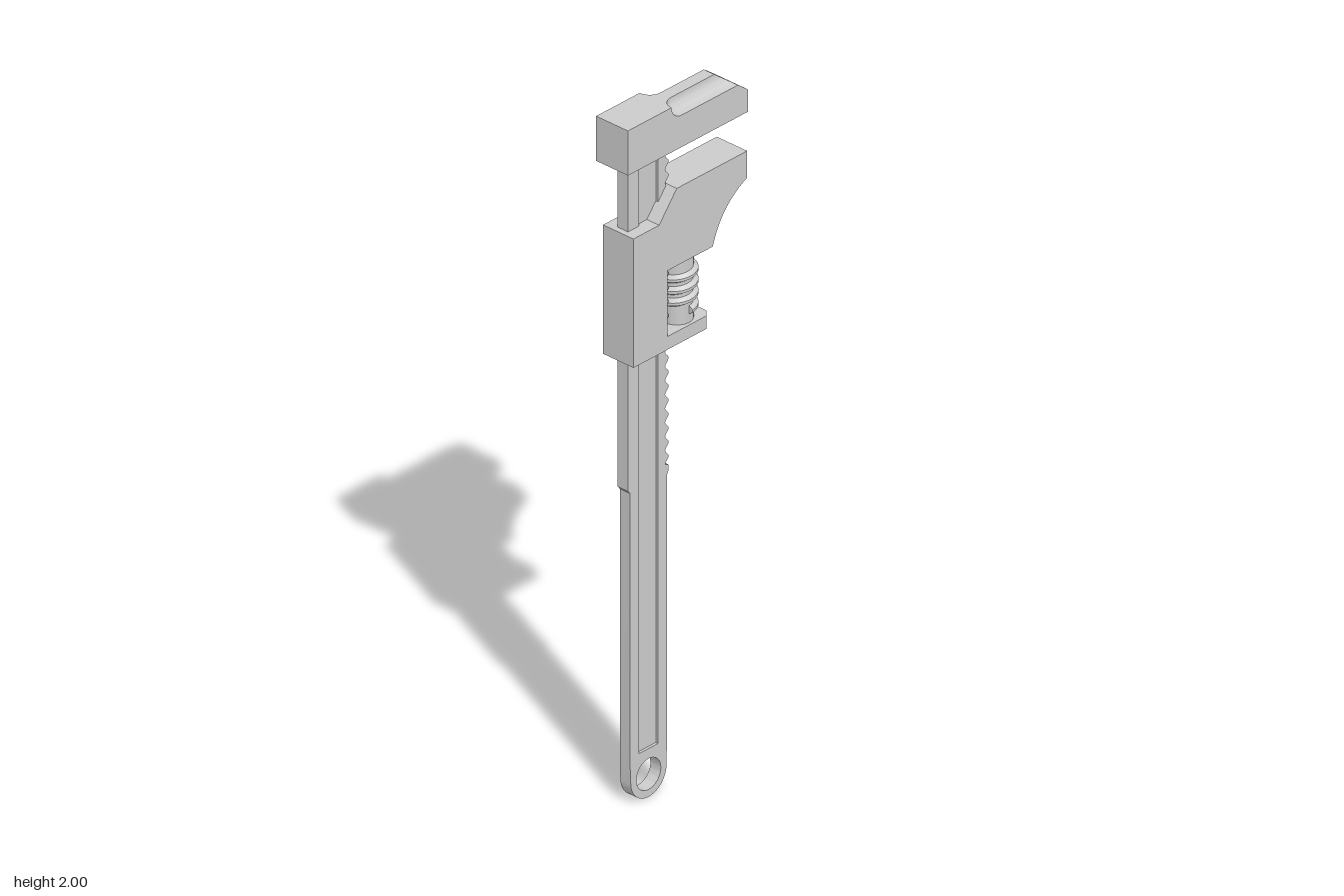
import * as THREE from 'three';
import { toCreasedNormals } from 'three/addons/utils/BufferGeometryUtils.js';

const grey = new THREE.MeshStandardMaterial({ color: 0xcccccc });

function part(name, geometry, crease = 0.6) {
  const mesh = new THREE.Mesh(toCreasedNormals(geometry, crease), grey);
  mesh.name = name;
  return mesh;
}

// Side profile in (z, y), extruded symmetrically across x
function sideExtrude(shape, width) {
  const g = new THREE.ExtrudeGeometry(shape, { depth: width, bevelEnabled: false, curveSegments: 24 });
  return g.translate(0, 0, -width / 2).rotateY(-Math.PI / 2);
}

// Skin over equal-length closed rings of [x, y, z], with fan caps on both ends
function loft(rings) {
  const n = rings[0].length, index = [];
  for (let i = 0; i < rings.length - 1; i++) {
    for (let j = 0; j < n; j++) {
      const a = i * n + j, b = i * n + (j + 1) % n;
      index.push(a, b, a + n, b, b + n, a + n);
    }
  }
  const last = (rings.length - 1) * n;
  for (let j = 1; j < n - 1; j++) {
    index.push(0, j + 1, j, last, last + j, last + j + 1);
  }
  const g = new THREE.BufferGeometry();
  g.setAttribute('position', new THREE.Float32BufferAttribute(rings.flat(2), 3));
  g.setIndex(index);
  g.computeVertexNormals();
  return g;
}

// Flat bar: eyed handle below, toothed rack above, long groove on each face
function barShape() {
  const s = new THREE.Shape();
  s.moveTo(0.042, 0.065);
  s.absarc(0.107, 0.066, 0.066, Math.PI, Math.PI * 2, false);
  s.lineTo(0.175, 0.11);
  s.lineTo(0.175, 0.91);
  s.lineTo(0.183, 0.92);
  s.lineTo(0.183, 1.9);
  s.lineTo(0.045, 1.9);
  const top = 1.88, bottom = 0.94, teeth = 23, steps = 8;
  for (let i = 0; i <= teeth * steps; i++) {
    const y = top + (bottom - top) * i / (teeth * steps);
    s.lineTo(0.0395 + 0.0065 * Math.cos(i / steps * Math.PI * 2), y);
  }
  s.lineTo(0.033, 0.935);
  s.lineTo(0.033, 0.92);
  s.lineTo(0.04, 0.907);
  s.lineTo(0.04, 0.11);
  s.closePath();

  const eye = new THREE.Path();
  eye.absarc(0.107, 0.066, 0.045, 0, Math.PI * 2, true);
  const groove = new THREE.Path();
  groove.moveTo(0.072, 0.14);
  groove.lineTo(0.072, 1.88);
  groove.lineTo(0.142, 1.88);
  groove.lineTo(0.142, 0.14);
  groove.closePath();
  s.holes.push(eye, groove);
  return s;
}

// Fixed jaw: block with sloped nose and a ball-ended cove along each top edge
function headGeometry() {
  const half = 0.055, r = 0.037, zc = 0.025, noseZ = -0.135, slope = 0.085 / 0.065;
  const steps = 10, columns = [];
  for (let i = 0; i <= steps; i++) {
    const a = i / steps * Math.PI / 2;
    columns.push([half - r * Math.sin(a), r * Math.cos(a)]);
  }
  const all = [...columns, ...columns.slice().reverse().map(([x, w]) => [-x, w])];
  return loft(all.map(([x, w]) => {
    const ring = [[x, 1.87, 0.223], [x, 2, 0.223]];
    for (let k = 0; k <= 8; k++) {
      const t = k / 8 * Math.PI / 2;
      ring.push([x, 2 - w * Math.sin(t), zc + w * Math.cos(t)]);
    }
    ring.push([x, 2 - w, noseZ - w * slope], [x, 1.935, -0.22], [x, 1.87, -0.22]);
    return ring;
  }));
}

// Sliding jaw: sleeve around the bar, upper jaw with curved throat
function sliderShape() {
  const s = new THREE.Shape();
  s.moveTo(0.2, 1.3);
  s.lineTo(0.2, 1.675);
  s.lineTo(0.105, 1.675);
  s.lineTo(0.04, 1.755);
  s.lineTo(-0.22, 1.755);
  s.lineTo(-0.22, 1.677);
  s.quadraticCurveTo(-0.125, 1.635, -0.093, 1.53);
  s.lineTo(0.075, 1.53);
  s.lineTo(0.075, 1.3);
  s.closePath();
  return s;
}

// Lower bearing foot with clipped corners, drawn in plan
function footGeometry() {
  const s = new THREE.Shape();
  [[0.052, 0.075], [0.052, -0.07], [0.034, -0.09], [-0.034, -0.09], [-0.052, -0.07], [-0.052, 0.075]]
    .forEach(([x, z], i) => (i ? s.lineTo(x, -z) : s.moveTo(x, -z)));
  return new THREE.ExtrudeGeometry(s, { depth: 0.038, bevelEnabled: false })
    .rotateX(-Math.PI / 2).translate(0, 1.3, 0);
}

// Raised helical thread of the adjusting screw
function threadGeometry() {
  const turns = 3.5, perTurn = 32, pitch = 0.034, rings = [];
  const section = [[0.04, -0.014], [0.055, -0.004], [0.055, 0.004], [0.04, 0.014]];
  for (let i = 0; i <= turns * perTurn; i++) {
    const a = i / perTurn * Math.PI * 2, y = 1.375 + pitch * i / perTurn;
    rings.push(section.map(([r, h]) => [r * Math.cos(a), y + h, -r * Math.sin(a)]));
  }
  return loft(rings.map((ring) => ring.slice().reverse()));
}

export function createModel() {
  const model = new THREE.Group();
  model.name = 'adjustableWrench';

  model.add(part('bar', sideExtrude(barShape(), 0.036)));
  const web = part('grooveWeb', new THREE.BoxGeometry(0.02, 1.76, 0.074));
  web.position.set(0, 1.01, 0.107);
  model.add(web);

  model.add(part('fixedJaw', headGeometry()));

  const slider = new THREE.Group();
  slider.name = 'slidingJaw';
  slider.add(part('jawSleeve', sideExtrude(sliderShape(), 0.105)));
  slider.add(part('bearingFoot', footGeometry()));
  model.add(slider);

  const screw = new THREE.Group();
  screw.name = 'adjustingScrew';
  const core = part('screwCore', new THREE.CylinderGeometry(0.043, 0.043, 0.2, 32));
  core.position.y = 1.435;
  screw.add(core, part('screwThread', threadGeometry()));
  screw.position.z = -0.016;
  model.add(screw);

  return model;
}
